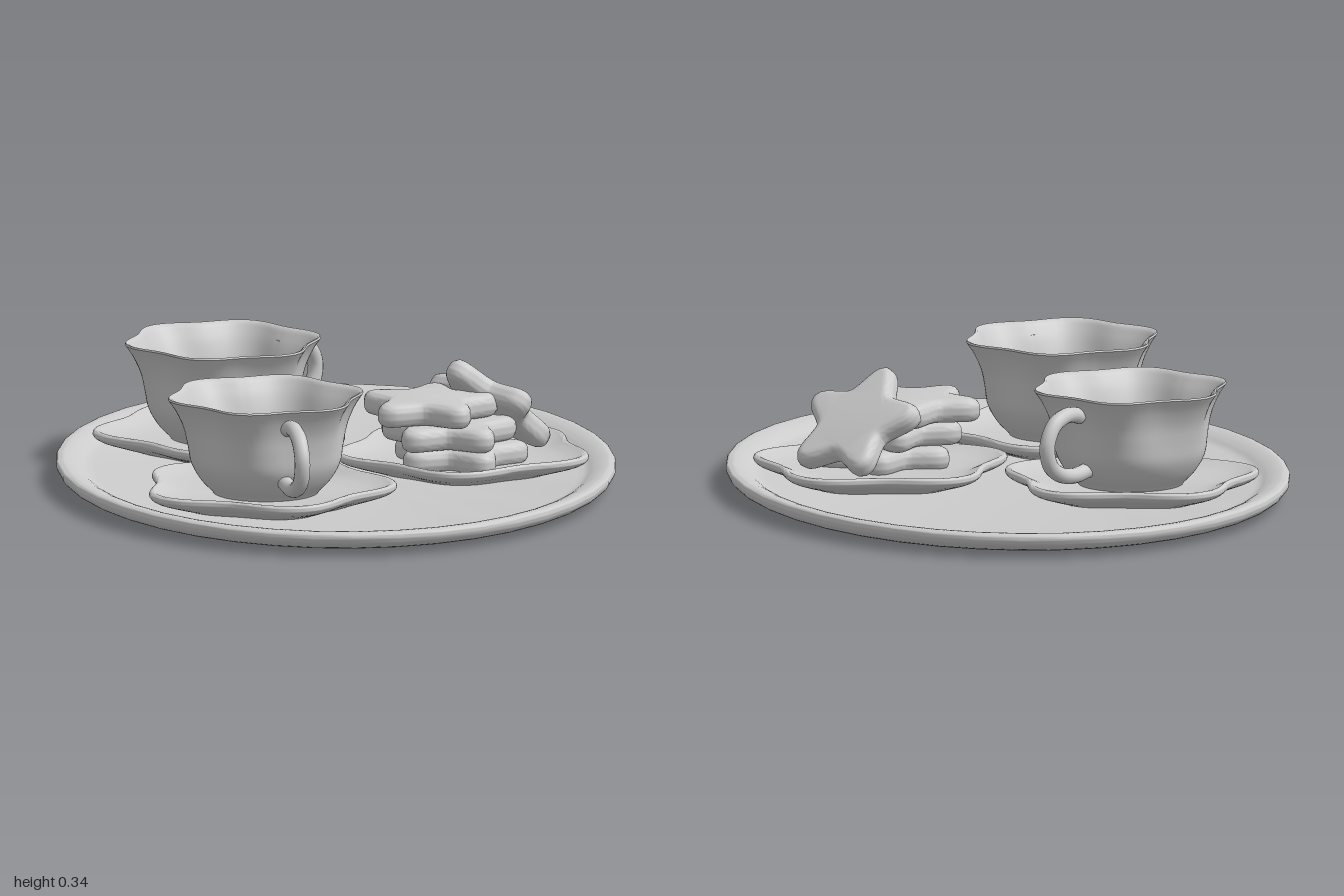
import * as THREE from 'three';
import { mergeVertices, toCreasedNormals } from 'three/addons/utils/BufferGeometryUtils.js';

const mat = new THREE.MeshStandardMaterial({ color: 0xcccccc });
const rad = THREE.MathUtils.degToRad;

function mesh(name, geometry) {
  const m = new THREE.Mesh(geometry, mat);
  m.name = name;
  return m;
}

function smooth(geometry, crease) {
  geometry.deleteAttribute('uv');
  geometry.deleteAttribute('normal');
  return toCreasedNormals(mergeVertices(geometry, 1e-4), crease);
}

// Revolved profile whose radius ripples into lobes; weight(r, y) sets the ripple depth
function lobedLathe(profile, lobes, phase, weight, segments = 90) {
  const geo = new THREE.LatheGeometry(profile, segments);
  const p = geo.attributes.position;
  for (let i = 0; i < p.count; i++) {
    const x = p.getX(i), z = p.getZ(i);
    const k = 1 + weight(Math.hypot(x, z), p.getY(i)) * Math.cos(lobes * (Math.atan2(z, x) - phase));
    p.setX(i, x * k);
    p.setZ(i, z * k);
  }
  return smooth(geo, 0.9);
}

const vecs = (pts) => pts.map(([x, y]) => new THREE.Vector2(x, y));
const spline = (pts, n) => new THREE.SplineCurve(vecs(pts)).getPoints(n);

// Oval tray: flat base, rounded underside, wide rim and sunken floor
function tray() {
  const profile = [
    ...vecs([[0, 0]]),
    ...spline([[0.865, 0], [0.925, 0.01], [0.97, 0.022], [0.993, 0.036], [1, 0.052], [0.996, 0.062],
      [0.98, 0.066], [0.95, 0.062], [0.92, 0.053], [0.895, 0.042], [0.865, 0.037]], 30),
    ...vecs([[0, 0.037]]),
  ];
  const geo = smooth(new THREE.LatheGeometry(profile, 40).scale(0.745, 1, 1), 0.7);
  return mesh('tray', geo);
}

// Five-lobed saucer, one lobe pointing to +x
function saucer() {
  const profile = [
    ...vecs([[0, 0.037], [0.22, 0.037]]),
    ...spline([[0.23, 0.041], [0.27, 0.054], [0.305, 0.067], [0.32, 0.08], [0.319, 0.091],
      [0.31, 0.095], [0.295, 0.088], [0.26, 0.076], [0.21, 0.068]], 28),
    ...vecs([[0, 0.068]]),
  ];
  const weight = (r) => 0.09 * THREE.MathUtils.smoothstep(r, 0.08, 0.3);
  return mesh('saucer', lobedLathe(profile, 5, 0, weight));
}

// Six-lobed cup with the handle in the valley at +x
function cup() {
  const group = new THREE.Group();
  group.name = 'cup';
  const profile = [
    ...vecs([[0, 0.068], [0.14, 0.068]]),
    ...spline([[0.145, 0.075], [0.174, 0.105], [0.199, 0.15], [0.207, 0.2], [0.215, 0.25],
      [0.232, 0.295], [0.252, 0.327]], 22),
    ...vecs([[0.25, 0.332], [0.243, 0.33]]),
    ...spline([[0.236, 0.322], [0.215, 0.288], [0.196, 0.245], [0.18, 0.2], [0.155, 0.155],
      [0.115, 0.121], [0.062, 0.102], [0, 0.096]], 32),
  ];
  const weight = (r, y) => 0.06 * THREE.MathUtils.smoothstep(y, 0.12, 0.32);
  group.add(mesh('cupBowl', lobedLathe(profile, 6, rad(30), weight)));

  const path = new THREE.CatmullRomCurve3([[0.213, 0.278], [0.237, 0.286], [0.275, 0.287], [0.322, 0.267],
    [0.35, 0.215], [0.335, 0.16], [0.29, 0.13], [0.235, 0.121], [0.18, 0.128]]
    .map(([x, y]) => new THREE.Vector3(x, y, 0)));
  group.add(mesh('cupHandle', new THREE.TubeGeometry(path, 40, 0.021, 14)));
  return group;
}

// Puffy star biscuit lying flat, with one point at the given angle
function starBiscuit(radius, angle) {
  const pts = [];
  for (let i = 0; i < 10; i++) {
    const a = rad(angle + i * 36), r = i % 2 ? radius * 0.5 : radius - 0.025;
    pts.push(new THREE.Vector3(Math.cos(a) * r, Math.sin(a) * r, 0));
  }
  const outline = new THREE.CatmullRomCurve3(pts, true, 'centripetal').getPoints(80).slice(0, 80);
  const shape = new THREE.Shape(outline.map((p) => new THREE.Vector2(p.x, p.y)));
  const geo = new THREE.ExtrudeGeometry(shape, {
    depth: 0.012, steps: 1, bevelThickness: 0.026, bevelSize: 0.026, bevelSegments: 6,
  });
  geo.translate(0, 0, -0.006).rotateX(Math.PI / 2);
  return mesh('starBiscuit', smooth(geo, 0.9));
}

export function createModel() {
  const model = new THREE.Group();
  model.name = 'teaTray';
  model.add(tray());

  // Settings: x, z, facing angle, has a cup
  [[-0.285, -0.293, -42, true], [-0.212, 0.438, 77, true], [0.34, 0.01, -47, false]]
    .forEach(([x, z, angle, hasCup]) => {
      const place = new THREE.Group();
      place.name = hasCup ? 'cupAndSaucer' : 'biscuitPlate';
      place.position.set(x, 0, z);
      place.rotation.y = -rad(angle);
      place.add(saucer());
      if (hasCup) place.add(cup());
      model.add(place);
    });

  // Biscuits: x, y, z, point angle, radius, turn, lean; the last rests against the stack
  [[0.32, 0.092, 0.085, 68, 0.185, 0, 0], [0.295, 0.155, 0.095, 58, 0.185, 0, 0],
    [0.243, 0.22, 0.085, 63, 0.185, 0, 0], [0.411, 0.199, -0.043, 180, 0.183, 42, -42]]
    .forEach(([x, y, z, angle, radius, turn, lean]) => {
      const star = starBiscuit(radius, angle);
      star.position.set(x, y, z);
      star.rotation.set(0, rad(turn), rad(lean));
      model.add(star);
    });
  return model;
}
